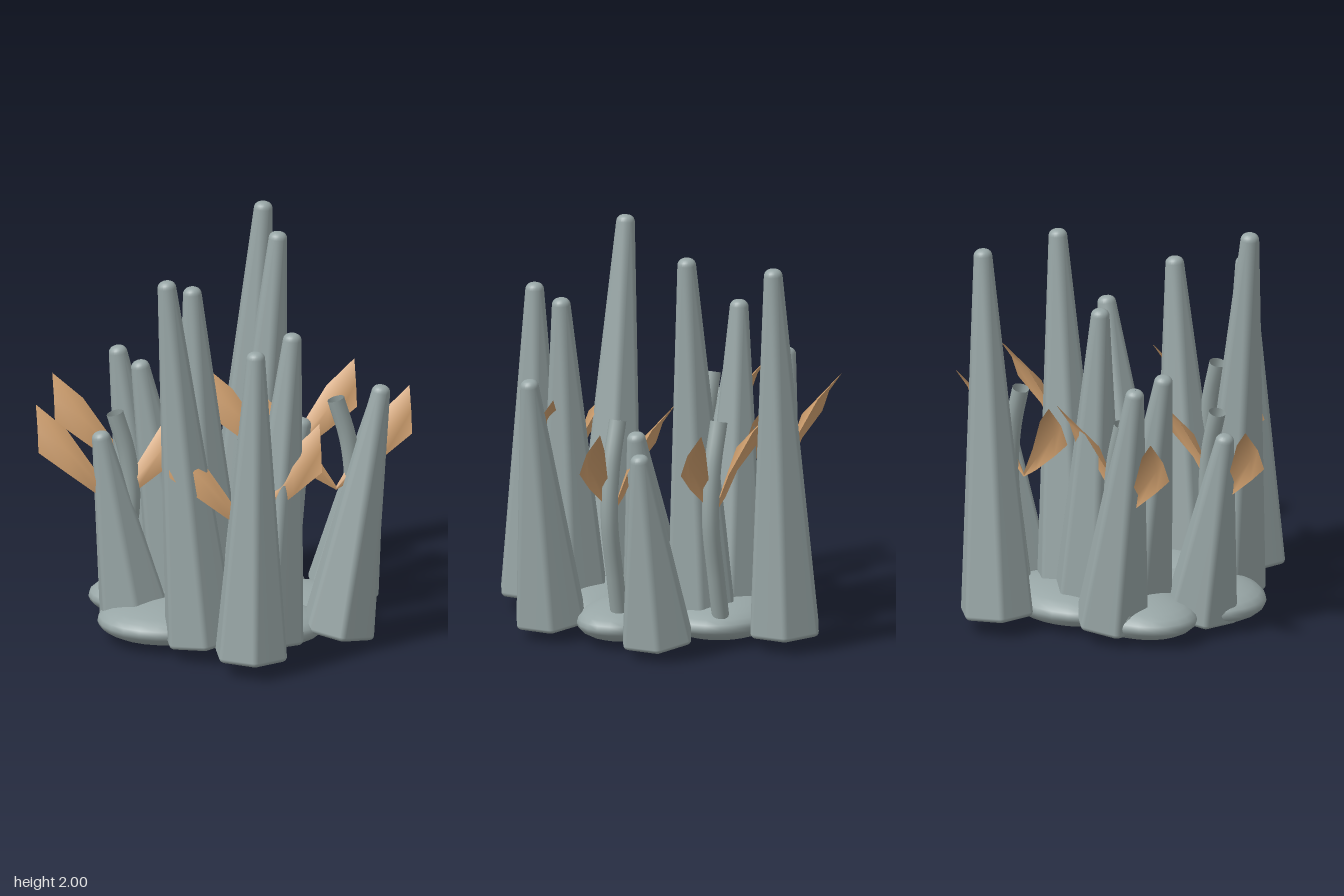
import * as THREE from 'three';

const stone = new THREE.MeshStandardMaterial({ color: 0x98a6a6 });
stone.name = 'grey stone';
const stalkGrey = new THREE.MeshStandardMaterial({ color: 0x98a6a5, side: THREE.DoubleSide });
stalkGrey.name = 'grey stalk';
const leafTan = new THREE.MeshStandardMaterial({ color: 0xcf9f6e, side: THREE.DoubleSide });
leafTan.name = 'tan leaf';

// Skins a list of equal-length point loops, closed around or left open
function loft(rings, closed) {
  const n = rings[0].length, idx = [];
  for (let r = 0; r < rings.length - 1; r++) {
    for (let i = 0; i < (closed ? n : n - 1); i++) {
      const j = (i + 1) % n, a = r * n + i, b = r * n + j;
      idx.push(a, b, b + n, a, b + n, a + n);
    }
  }
  const g = new THREE.BufferGeometry();
  g.setAttribute('position', new THREE.Float32BufferAttribute(rings.flat(2), 3));
  g.setIndex(idx);
  g.computeVertexNormals();
  return g;
}

// Hexagon of corner distance d with corners rounded by r
function roundedHex(y, d, r) {
  const pts = [];
  for (let c = 0; c < 6; c++) {
    const a = c * Math.PI / 3;
    for (let k = 0; k < 5; k++) {
      const t = a + (k / 4 - 0.5) * Math.PI / 3;
      pts.push([d * Math.sin(a) + r * Math.sin(t), y, d * Math.cos(a) + r * Math.cos(t)]);
    }
  }
  return pts;
}

// Tapered six-sided spike with bevelled foot and domed tip
function spikeGeometry(len) {
  const rings = [roundedHex(0, 0.0005, 0.0005)];
  for (let k = 0; k <= 4; k++) {
    const p = k / 4 * Math.PI / 2;
    rings.push(roundedHex(0.025 * (1 - Math.cos(p)), 0.163, 0.007 + 0.025 * Math.sin(p)));
  }
  for (let k = 0; k <= 5; k++) {
    const p = k / 5 * Math.PI / 2;
    rings.push(roundedHex(len - 0.035 * (1 - Math.sin(p)), 0.003 * Math.cos(p), 0.012 + 0.033 * Math.cos(p)));
  }
  rings.push(roundedHex(len, 0, 0.0005));
  return loft(rings, true);
}

// [base x, base z, tip x, tip z, height]
const spikes = [
  [0.165, -0.765, 0.285, -0.765, 2.0], [-0.31, -0.395, -0.505, -0.395, 1.38],
  [-0.04, -0.33, -0.13, -0.33, 1.7], [0.165, -0.28, 0.305, -0.27, 2.0],
  [0.635, -0.29, 0.815, -0.285, 1.08], [-0.19, -0.15, -0.42, -0.145, 1.38],
  [0.18, -0.03, 0.405, -0.03, 1.08], [-0.46, 0.06, -0.645, 0.075, 1.08],
  [-0.17, 0.465, -0.35, 0.46, 2.0], [0.165, 0.47, 0.295, 0.47, 1.7],
  [0.535, 0.39, 0.76, 0.39, 1.38], [0.05, 0.76, 0.075, 0.75, 1.7],
];

// [x, z, radius x, radius z]
const rocks = [
  [-0.31, -0.23, 0.36, 0.27], [-0.31, 0.18, 0.36, 0.31], [0.08, -0.38, 0.37, 0.28],
  [0.355, 0.02, 0.36, 0.25], [0.12, 0.33, 0.36, 0.27],
];

// [x, z] of each leafy stalk
const plants = [[0.57, -0.02], [0.34, -0.48], [-0.43, -0.42], [-0.57, 0.08], [0.045, 0.555]];

// Leaf cross-sections: [reach, bottom y, bottom z, middle y, middle z, top y, top z]
const leafSections = [
  [0.0, 0.70, 0.02, 0.71, 0.025, 0.72, 0.02],
  [0.1, 0.76, 0.02, 0.83, 0.03, 0.88, 0.0],
  [0.24, 0.87, 0.03, 0.99, 0.035, 1.08, -0.06],
  [0.39, 0.98, 0.0, 1.09, -0.04, 1.2, -0.12],
];

function leafGeometry(side) {
  return loft(leafSections.map(([s, y0, z0, y1, z1, y2, z2]) =>
    [[side * s, y0, z0], [side * s, y1, z1], [side * s, y2, z2]]), false);
}

export function createModel() {
  const model = new THREE.Group();
  model.name = 'spikeCluster';
  const add = (parent, name, geometry, material) => {
    const m = new THREE.Mesh(geometry, material);
    m.name = name;
    parent.add(m);
    return m;
  };

  // Flat rounded rocks underneath
  const ball = new THREE.SphereGeometry(1, 24, 14);
  for (const [x, z, rx, rz] of rocks) {
    const rock = add(model, 'baseRock', ball, stone);
    rock.position.set(x, 0.105, z);
    rock.scale.set(rx, 0.105, rz);
  }

  // Leaning spikes
  const up = new THREE.Vector3(0, 1, 0);
  for (const [bx, bz, tx, tz, h] of spikes) {
    const base = new THREE.Vector3(bx, 0.075, bz);
    const axis = new THREE.Vector3(tx, h, tz).sub(base);
    const spike = add(model, 'spike', spikeGeometry(axis.length()), stone);
    spike.position.copy(base);
    spike.quaternion.setFromUnitVectors(up, axis.normalize());
  }

  // Bowed hollow stalks, each with a pair of leaves
  const path = new THREE.CatmullRomCurve3([
    [-0.03, 0.1], [0.03, 0.38], [0.085, 0.68], [0.065, 0.95], [0.0, 1.18],
  ].map(([x, y]) => new THREE.Vector3(x, y, 0)));
  const tube = new THREE.TubeGeometry(path, 20, 0.044, 12);
  const leaves = [leafGeometry(1), leafGeometry(-1)];
  for (const [x, z] of plants) {
    const plant = new THREE.Group();
    plant.name = 'leafyStalk';
    plant.position.set(x, 0, z);
    add(plant, 'stalk', tube, stalkGrey);
    add(plant, 'leftLeaf', leaves[0], leafTan);
    add(plant, 'rightLeaf', leaves[1], leafTan);
    model.add(plant);
  }
  return model;
}
